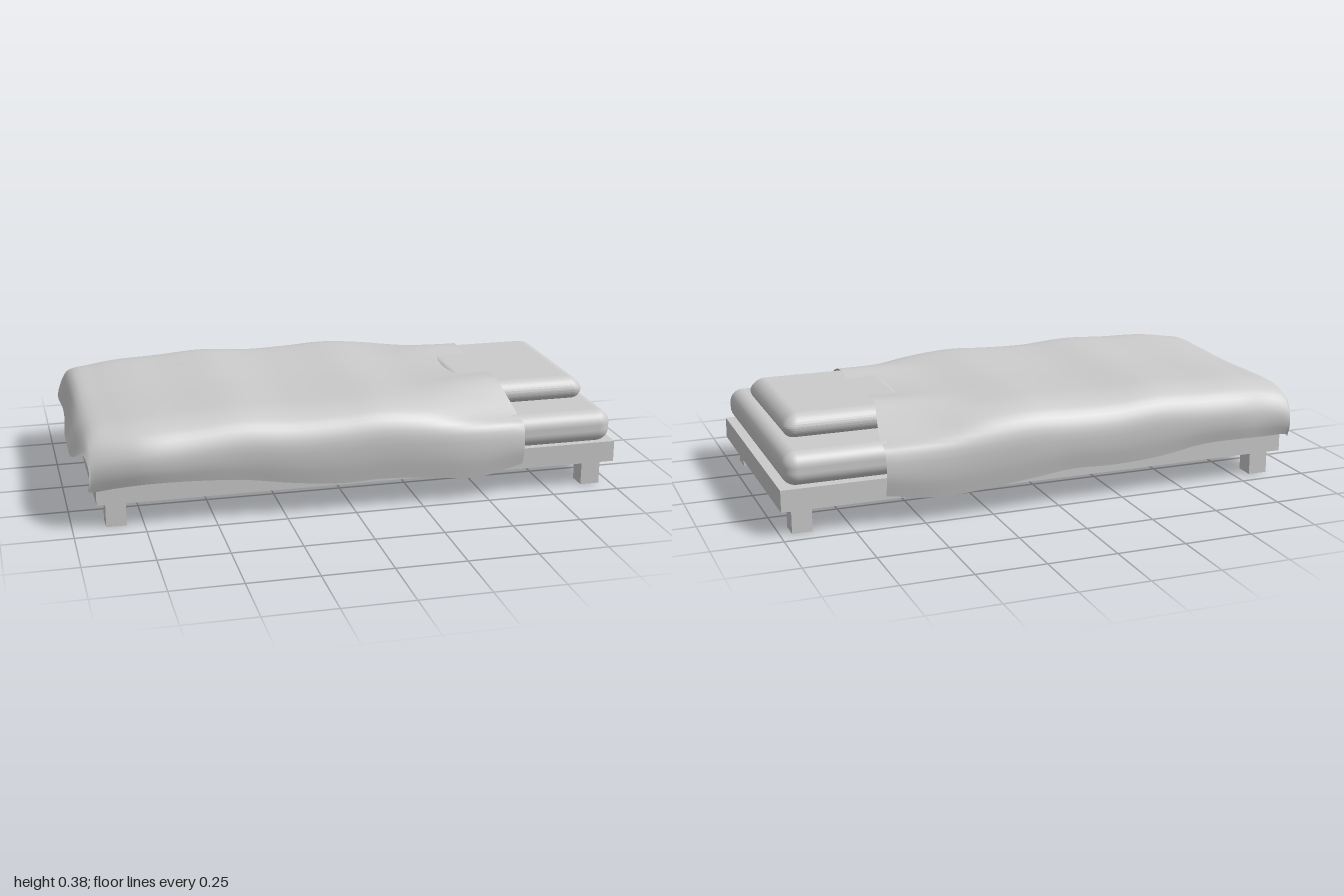
import * as THREE from 'three';
import { RoundedBoxGeometry } from 'three/addons/geometries/RoundedBoxGeometry.js';

const material = new THREE.MeshStandardMaterial({ color: 0xcccccc });
const clothMaterial = new THREE.MeshStandardMaterial({ color: 0xcccccc, side: THREE.DoubleSide });

// Box given by its extents; radius > 0 rounds the edges
function block(name, [x0, x1], [y0, y1], [z0, z1], radius = 0) {
  const size = [x1 - x0, y1 - y0, z1 - z0];
  const geometry = radius
    ? new RoundedBoxGeometry(...size, 5, radius)
    : new THREE.BoxGeometry(...size);
  const mesh = new THREE.Mesh(geometry, material);
  mesh.name = name;
  mesh.position.set((x0 + x1) / 2, (y0 + y1) / 2, (z0 + z1) / 2);
  return mesh;
}

// Blanket stations along the bed: x, top y, front hem y, back hem y, front z, back z
const STATIONS = [
  [-0.93, 0.335, 0.15, 0.16, 0.48, -0.5],
  [-0.84, 0.355, 0.165, 0.16, 0.5, -0.495],
  [-0.74, 0.366, 0.175, 0.165, 0.515, -0.505],
  [-0.58, 0.372, 0.17, 0.165, 0.507, -0.51],
  [-0.4, 0.382, 0.155, 0.14, 0.498, -0.515],
  [-0.22, 0.37, 0.128, 0.13, 0.5, -0.517],
  [-0.05, 0.373, 0.112, 0.135, 0.5, -0.52],
  [0.1, 0.38, 0.116, 0.12, 0.5, -0.522],
  [0.28, 0.371, 0.105, 0.1, 0.5, -0.518],
  [0.45, 0.38, 0.086, 0.088, 0.495, -0.51],
  [0.615, 0.384, 0.12, 0.11, 0.482, -0.495],
];

// Half section from shoulder to centre: fraction of half width, drop below the top;
// "bed" lies flat over the mattress, "head" drapes off the pillow
const BED = [[1, 0.085], [0.93, 0.03], [0.78, 0.002], [0.5, 0], [0.25, 0.003]];
const HEAD = [[0.97, 0.115], [0.84, 0.094], [0.67, 0.045], [0.5, 0.002], [0.25, 0.012]];

function section([x, top, hemF, hemB, zF, zB]) {
  const k = THREE.MathUtils.smoothstep(x, 0.2, 0.61);
  const half = (z, hem) => {
    const upper = BED.map(([f, d], i) => new THREE.Vector3(
      x,
      top - THREE.MathUtils.lerp(d, HEAD[i][1], k),
      z * THREE.MathUtils.lerp(f, HEAD[i][0], k)));
    const shoulder = upper[0].y;
    return [
      new THREE.Vector3(x, hem, z * 0.975),
      new THREE.Vector3(x, (hem + shoulder) / 2, z * 1.005),
      ...upper,
    ];
  };
  const ridge = new THREE.Vector3(x, top - 0.005 - 0.014 * k, (zF + zB) / 2);
  const points = [...half(zF, hemF), ridge, ...half(zB, hemB).reverse()];
  if (x > 0.6) points.forEach((p) => { p.x = 0.6 + 0.035 * THREE.MathUtils.smoothstep(Math.abs(p.z), 0.2, 0.45); });
  return points;
}

function blanketGeometry() {
  const rows = STATIONS.map(section);
  // Flap hanging over the foot, flaring outward between the two corners
  const foot = rows[0].map((p) => {
    const inner = 1 - THREE.MathUtils.smoothstep(Math.abs(p.z), 0.38, 0.49);
    const sway = 0.012 * Math.sin(p.z * 7);
    return new THREE.Vector3(-0.938 - 0.042 * inner - sway * inner,
      THREE.MathUtils.lerp(p.y - 0.008, 0.245 + sway, inner), p.z);
  });
  rows.unshift(foot);

  // Smooth along the bed, then across it
  const nx = 44, nz = 48;
  const rails = rows[0].map((_, j) => new THREE.CatmullRomCurve3(rows.map((r) => r[j])));
  const positions = [], indices = [];
  for (let i = 0; i <= nx; i++) {
    const across = new THREE.CatmullRomCurve3(rails.map((c) => c.getPoint(i / nx)));
    for (let j = 0; j <= nz; j++) {
      positions.push(...across.getPoint(j / nz).toArray());
      if (i < nx && j < nz) {
        const a = i * (nz + 1) + j, b = a + nz + 1;
        indices.push(a, b, a + 1, b, b + 1, a + 1);
      }
    }
  }
  const geometry = new THREE.BufferGeometry();
  geometry.setAttribute('position', new THREE.Float32BufferAttribute(positions, 3));
  geometry.setIndex(indices);
  geometry.computeVertexNormals();
  return geometry;
}

export function createModel() {
  const bed = new THREE.Group();
  bed.name = 'bed';

  // Base and legs
  bed.add(block('frame', [-0.915, 1], [0.093, 0.171], [-0.47, 0.452]));
  for (const x of [-0.847, 0.922]) {
    for (const z of [-0.4, 0.39]) {
      bed.add(block('leg', [x - 0.036, x + 0.036], [0, 0.095], [z - 0.036, z + 0.036]));
    }
  }

  // Mattress
  bed.add(block('mattress', [-0.9, 0.985], [0.17, 0.29], [-0.467, 0.462], 0.05));

  // Pillow, with its top edge drawn in at the head and a soft hollow
  const pillow = block('pillow', [0.47, 0.938], [0.287, 0.372], [-0.295, 0.29], 0.04);
  const p = pillow.geometry.attributes.position;
  for (let i = 0; i < p.count; i++) {
    const up = Math.max(p.getY(i), 0) / 0.0425;
    p.setX(i, p.getX(i) - 0.015 * up);
    p.setZ(i, p.getZ(i) * (1 - 0.03 * up));
  }
  pillow.geometry.computeVertexNormals();
  bed.add(pillow);

  // Blanket
  const blanket = new THREE.Mesh(blanketGeometry(), clothMaterial);
  blanket.name = 'blanket';
  bed.add(blanket);

  return bed;
}
